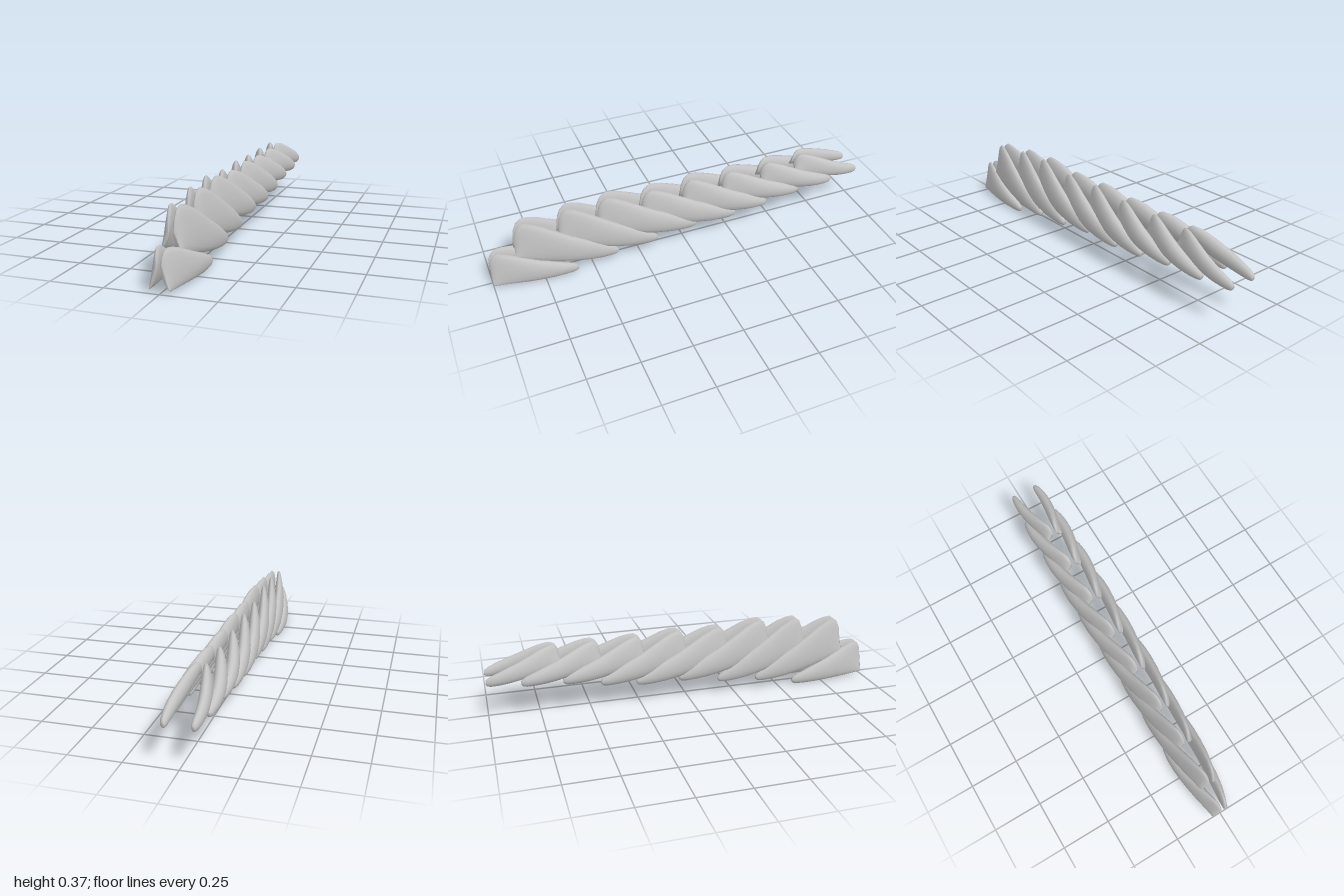
import * as THREE from 'three';

// Profile of one lobe from blunt front (s = 0) to pointed tail (s = 1):
// [s, height of upper edge (1 peak, 0 tail), inner x, outer x, end rounding]
const STATIONS = [
  [0, 0.6, 0.008, 0.02, 0.55],
  [0.015, 0.78, 0.004, 0.028, 0.82],
  [0.05, 0.93, 0.003, 0.036, 0.95],
  [0.1, 1, 0.004, 0.045, 1],
  [0.17, 0.97, 0.009, 0.058, 1],
  [0.27, 0.88, 0.017, 0.073, 1],
  [0.4, 0.72, 0.028, 0.088, 1],
  [0.55, 0.53, 0.04, 0.1, 1],
  [0.7, 0.36, 0.05, 0.105, 1],
  [0.83, 0.2, 0.055, 0.103, 1],
  [0.93, 0.08, 0.058, 0.097, 1],
  [0.98, 0.01, 0.062, 0.09, 0.85],
  [1, 0, 0.067, 0.083, 0.45],
];

// Lobe pairs: front z, tail z, peak y, front bottom y, tail bottom y, half width
const PAIRS = [
  [1.0, 0.58, 0.19, 0.018, 0.002, 0.091],
  [0.87, 0.37, 0.335, 0.15, 0.045, 0.093],
  [0.65, 0.16, 0.358, 0.185, 0.065, 0.095],
  [0.45, -0.05, 0.368, 0.2, 0.098, 0.101],
  [0.22, -0.27, 0.35, 0.2, 0.103, 0.105],
  [0.0, -0.45, 0.355, 0.21, 0.123, 0.107],
  [-0.22, -0.635, 0.345, 0.22, 0.152, 0.107],
  [-0.44, -0.835, 0.345, 0.235, 0.165, 0.107],
  [-0.64, -1.0, 0.345, 0.255, 0.18, 0.09],
];

const SIDES = 16;

// Loft of leaf-shaped sections; side is +1 for left, -1 for right
function lobeGeometry([zFront, zTail, peak, frontBottom, tailBottom, halfWidth], side) {
  const positions = [];
  const index = [];
  const tri = (a, b, c) => (side > 0 ? index.push(a, b, c) : index.push(a, c, b));
  const tailTop = tailBottom + 0.042;
  const widthScale = halfWidth / 0.105;

  for (const [s, rise, inner, outer, round] of STATIONS) {
    const z = THREE.MathUtils.lerp(zFront, zTail, s);
    const top = tailTop + (peak - tailTop) * rise;
    const drop = 1 - Math.pow(1 - s, 1.8);
    const bottom = frontBottom + (tailBottom - frontBottom) * drop;
    const midY = (top + bottom) / 2;
    const halfY = ((top - bottom) / 2) * (s < 0.1 ? 0.9 + 0.1 * round : round);
    for (let j = 0; j < SIDES; j++) {
      const a = (j / SIDES) * Math.PI * 2;
      const v = (1 - Math.cos(a)) / 2;
      // lower edge splays outwards near the front
      const splay = 0.032 * (1 - s) * (1 - s) * v * v;
      const x = ((inner + outer) / 2 + ((outer - inner) / 2) * Math.sin(a)) * widthScale + splay;
      positions.push(side * x, midY + halfY * Math.cos(a), z);
    }
  }

  const last = STATIONS.length - 1;
  for (let i = 0; i < last; i++) {
    for (let j = 0; j < SIDES; j++) {
      const k = (j + 1) % SIDES;
      const a = i * SIDES + j, b = i * SIDES + k;
      tri(a, b, a + SIDES);
      tri(b, b + SIDES, a + SIDES);
    }
  }

  // end caps
  for (let j = 1; j < SIDES - 1; j++) {
    tri(0, j + 1, j);
    tri(last * SIDES, last * SIDES + j, last * SIDES + j + 1);
  }

  const geometry = new THREE.BufferGeometry();
  geometry.setAttribute('position', new THREE.Float32BufferAttribute(positions, 3));
  geometry.setIndex(index);
  geometry.computeVertexNormals();
  return geometry;
}

export function createModel() {
  const model = new THREE.Group();
  model.name = 'braid';
  const grey = new THREE.MeshStandardMaterial({ color: 0xc4c4c4 });
  grey.name = 'light grey';

  // Overlapping chain of V-shaped lobe pairs
  PAIRS.forEach((pair, i) => {
    const group = new THREE.Group();
    group.name = `lobePair${i + 1}`;
    for (const side of [1, -1]) {
      const lobe = new THREE.Mesh(lobeGeometry(pair, side), grey);
      lobe.name = side > 0 ? 'leftLobe' : 'rightLobe';
      group.add(lobe);
    }
    model.add(group);
  });
  return model;
}
